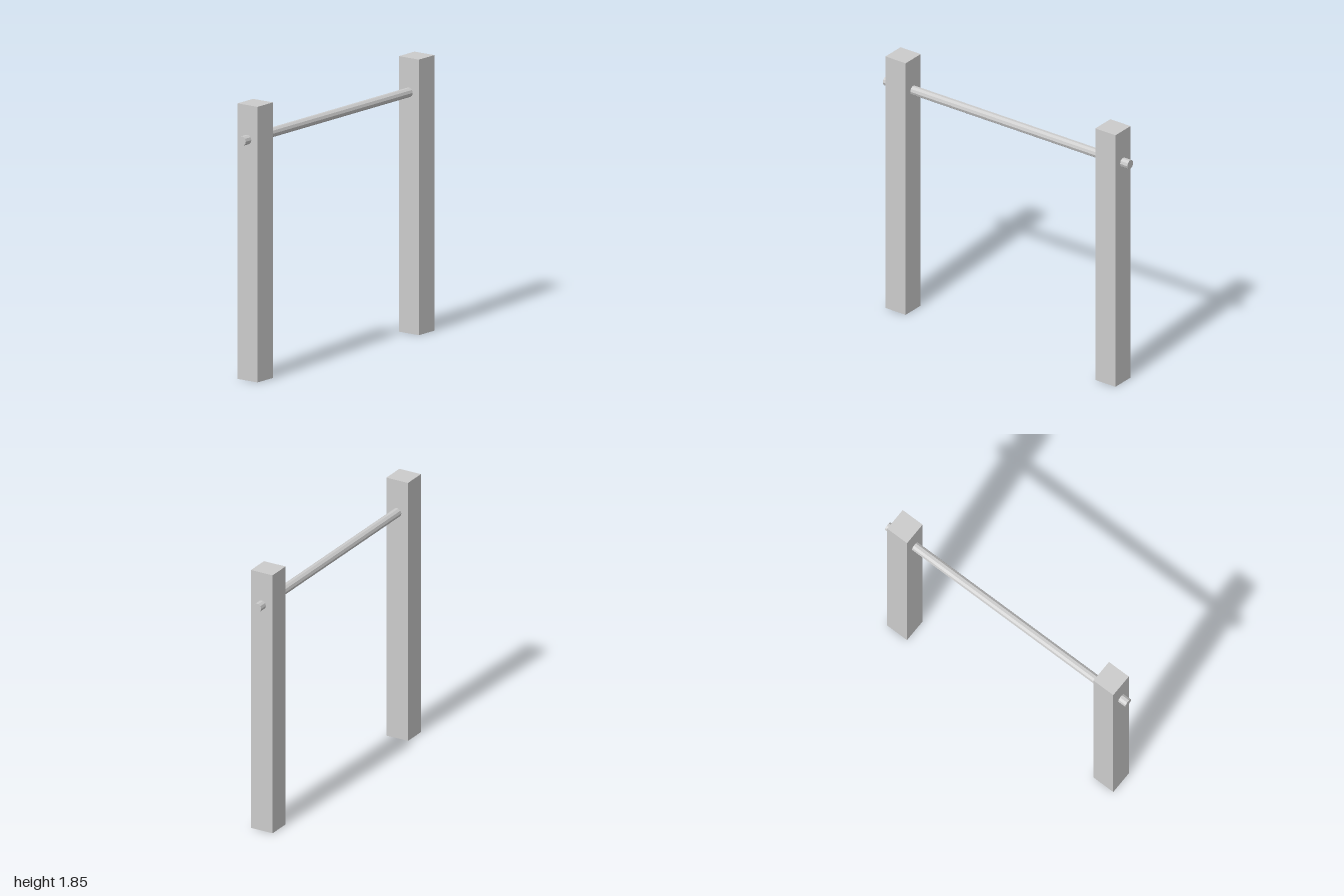
import * as THREE from 'three';

export function createModel() {
  const model = new THREE.Group();
  model.name = 'pullUpBar';
  const material = new THREE.MeshStandardMaterial({ color: 0xcccccc, flatShading: true });

  const postWidth = 0.165, postHeight = 1.854, postX = 0.858;
  const barRadius = 0.032, barLength = 2, barHeight = 1.623;

  // Two square upright posts
  const postGeometry = new THREE.BoxGeometry(postWidth, postHeight, postWidth);
  for (const [name, side] of [['leftPost', 1], ['rightPost', -1]]) {
    const post = new THREE.Mesh(postGeometry, material);
    post.name = name;
    post.position.set(side * postX, postHeight / 2, 0);
    model.add(post);
  }

  // Horizontal bar passing through both posts
  const barGeometry = new THREE.CylinderGeometry(barRadius, barRadius, barLength, 10);
  barGeometry.rotateZ(Math.PI / 2);
  const bar = new THREE.Mesh(barGeometry, material);
  bar.name = 'crossbar';
  bar.position.y = barHeight;
  model.add(bar);

  return model;
}
